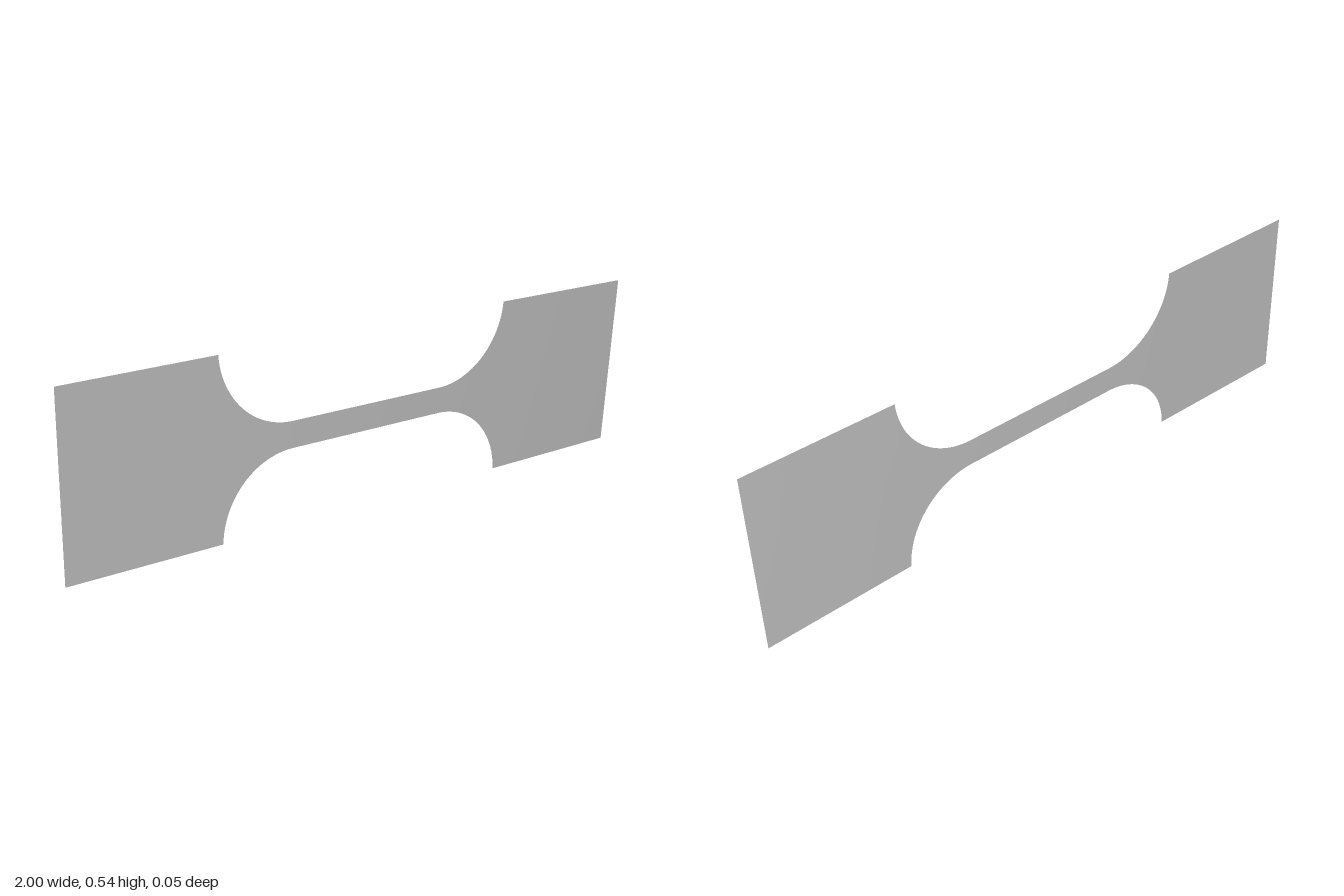
import * as THREE from 'three';

const HALF = 0.271;        // half height of the grips
const NECK = 0.04;         // half height of the gauge section
const NECK_END = 0.268;    // where the fillets begin
const GRIP_START = 0.51;   // where the grips begin
const RADIUS = GRIP_START - NECK_END;
const TWIST = THREE.MathUtils.degToRad(5);

// Sheet twist grows evenly from the flat left grip to the far end
const twistAt = (x) => TWIST * Math.max(0, (x + GRIP_START) / (1 + GRIP_START));

// Sheet strip: column(t) gives [x, half height] for t from 0 to 1
function strip(name, columns, column, material) {
  const geometry = new THREE.PlaneGeometry(1, 1, columns, 8);
  const p = geometry.attributes.position;
  for (let i = 0; i < p.count; i++) {
    const [x, half] = column(p.getX(i) + 0.5);
    const v = p.getY(i) * 2 * half;
    const a = twistAt(x);
    p.setXYZ(i, x, HALF + v * Math.cos(a), v * Math.sin(a));
  }
  geometry.computeVertexNormals();
  const mesh = new THREE.Mesh(geometry, material);
  mesh.name = name;
  return mesh;
}

export function createModel() {
  const metal = new THREE.MeshStandardMaterial({ color: 0xb2b2b2, side: THREE.DoubleSide });
  metal.name = 'grey metal';
  const group = new THREE.Group();
  group.name = 'tensileSpecimen';

  // Narrow gauge section
  group.add(strip('gauge', 12, (t) => [(t * 2 - 1) * NECK_END, NECK], metal));

  // Fillets and grips at both ends, columns always running towards +x
  const arcEnd = Math.acos((NECK + RADIUS - HALF) / RADIUS);
  for (const [side, s] of [['left', 1], ['right', -1]]) {
    const outward = (t) => (s > 0 ? t : 1 - t);
    group.add(strip(side + 'Fillet', 24, (t) => {
      const a = outward(t) * arcEnd;
      return [s * (NECK_END + RADIUS * Math.sin(a)), NECK + RADIUS * (1 - Math.cos(a))];
    }, metal));
    const start = NECK_END + RADIUS * Math.sin(arcEnd);
    group.add(strip(side + 'Grip', 8, (t) => [s * (start + (1 - start) * outward(t)), HALF], metal));
  }
  return group;
}
